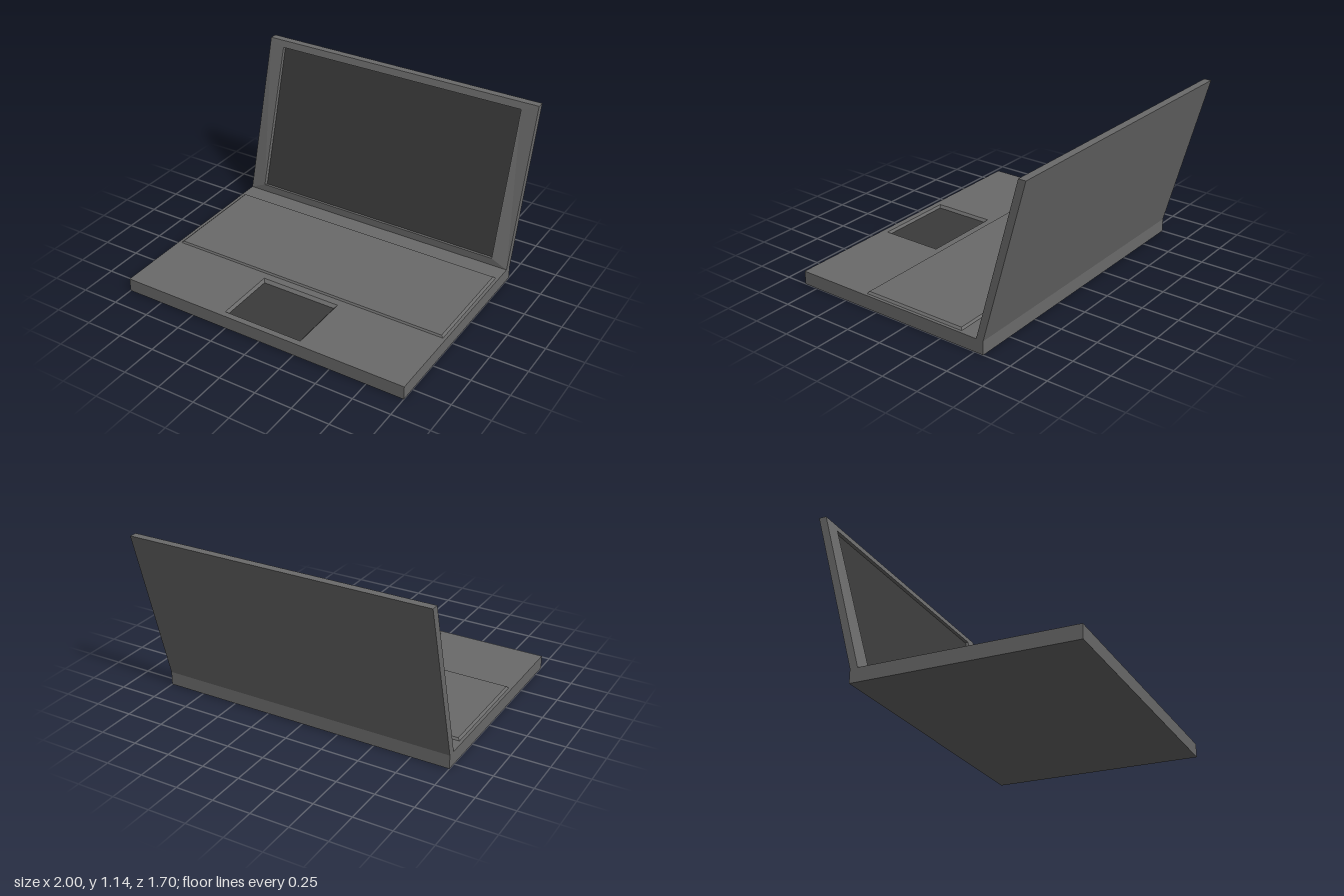
import * as THREE from 'three';

const shell = new THREE.MeshStandardMaterial({ color: 0x6a6a6a, flatShading: true });
const dark = new THREE.MeshStandardMaterial({ color: 0x3a3a3a, flatShading: true });

// Rectangle of half-width w between a near edge (y0, z0) and a far edge (y1, z1)
const rect = (w, y0, z0, y1, z1) => [[-w, y0, z0], [w, y0, z0], [w, y1, z1], [-w, y1, z1]];
const flat = (w, y, front, back) => rect(w, y, front, y, back);

// Joins successive rectangles with bands, optionally capping the first and last
function loft(name, rings, material, capStart, capEnd) {
  const pos = [];
  const quad = (a, b, c, d) => pos.push(...a, ...b, ...c, ...a, ...c, ...d);
  for (let r = 0; r < rings.length - 1; r++) {
    for (let i = 0; i < 4; i++) {
      const j = (i + 1) % 4;
      quad(rings[r][i], rings[r][j], rings[r + 1][j], rings[r + 1][i]);
    }
  }
  if (capStart) quad(...[...rings[0]].reverse());
  if (capEnd) quad(...rings[rings.length - 1]);
  const geometry = new THREE.BufferGeometry();
  geometry.setAttribute('position', new THREE.Float32BufferAttribute(pos, 3));
  geometry.computeVertexNormals();
  const mesh = new THREE.Mesh(geometry, material);
  mesh.name = name;
  return mesh;
}

export function createModel() {
  const model = new THREE.Group();
  model.name = 'laptop';

  // Base slab with a bevelled touchpad recess
  const padFloor = flat(0.26, 0.072, 0.80, 0.41);
  model.add(loft('base', [
    flat(1, 0, 0.85, -0.56),
    flat(1, 0.09, 0.85, -0.56),
    flat(0.275, 0.09, 0.81, 0.39),
    padFloor,
  ], shell, true, false));
  model.add(loft('touchpad', [padFloor], dark, false, true));

  // Slightly raised keyboard plate with bevelled edges
  model.add(loft('keyboard', [
    flat(0.98, 0.09, 0.34, -0.39),
    flat(0.966, 0.102, 0.332, -0.378),
  ], shell, false, true));

  // Leaning lid: back, sides, mitred bezel and recess walls
  const screen = rect(0.886, 0.135, -0.535, 1.092, -0.803);
  model.add(loft('lid', [
    rect(1, 0.09, -0.56, 1.145, -0.85),
    rect(1, 0.09, -0.51, 1.145, -0.80),
    rect(0.89, 0.14, -0.511, 1.1, -0.786),
    screen,
  ], shell, true, false));
  model.add(loft('screen', [screen], dark, false, true));

  return model;
}
